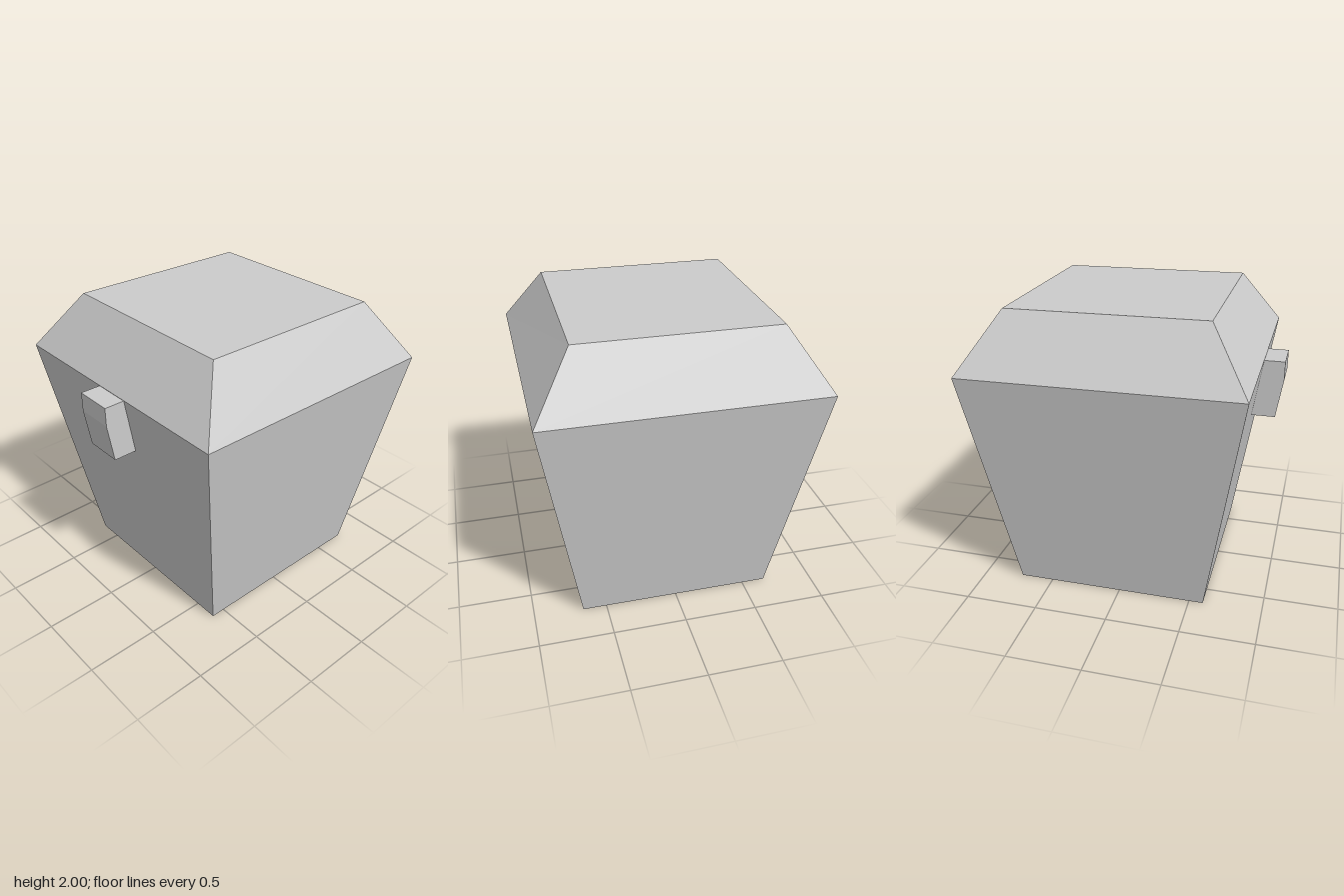
import * as THREE from 'three';

const material = new THREE.MeshStandardMaterial({ color: 0xcccccc, flatShading: true });

// Tapered box between two rims; each rim is { half width, front [z, y], back [z, y] }
function taperedBox(name, bottom, top) {
  const geometry = new THREE.BoxGeometry(2, 2, 2);
  const p = geometry.attributes.position;
  for (let i = 0; i < p.count; i++) {
    const rim = p.getY(i) > 0 ? top : bottom;
    const [z, y] = p.getZ(i) > 0 ? rim.front : rim.back;
    p.setXYZ(i, Math.sign(p.getX(i)) * rim.half, y, z);
  }
  geometry.computeVertexNormals();
  const mesh = new THREE.Mesh(geometry, material);
  mesh.name = name;
  return mesh;
}

export function createModel() {
  const group = new THREE.Group();
  group.name = 'bin';

  const base = { half: 0.663, front: [0.597, 0], back: [-0.73, 0] };
  const rim = { half: 0.925, front: [0.86, 1.608], back: [-0.99, 1.592] };
  const crown = { half: 0.663, front: [0.593, 2], back: [-0.735, 1.988] };

  // Body flares upwards, lid narrows again and leans slightly back
  group.add(taperedBox('body', base, rim));
  group.add(taperedBox('lid', rim, crown));

  // Latch: side profile in (z, y), extruded across x
  const profile = new THREE.Shape([
    [0.78, 1.21], [0.955, 1.21], [0.998, 1.475], [0.998, 1.605], [0.85, 1.605],
  ].map(([z, y]) => new THREE.Vector2(z, y)));
  const width = 0.262;
  const geometry = new THREE.ExtrudeGeometry(profile, { depth: width, bevelEnabled: false });
  geometry.translate(0, 0, -width / 2).rotateY(-Math.PI / 2);
  const latch = new THREE.Mesh(geometry, material);
  latch.name = 'latch';
  group.add(latch);

  return group;
}
